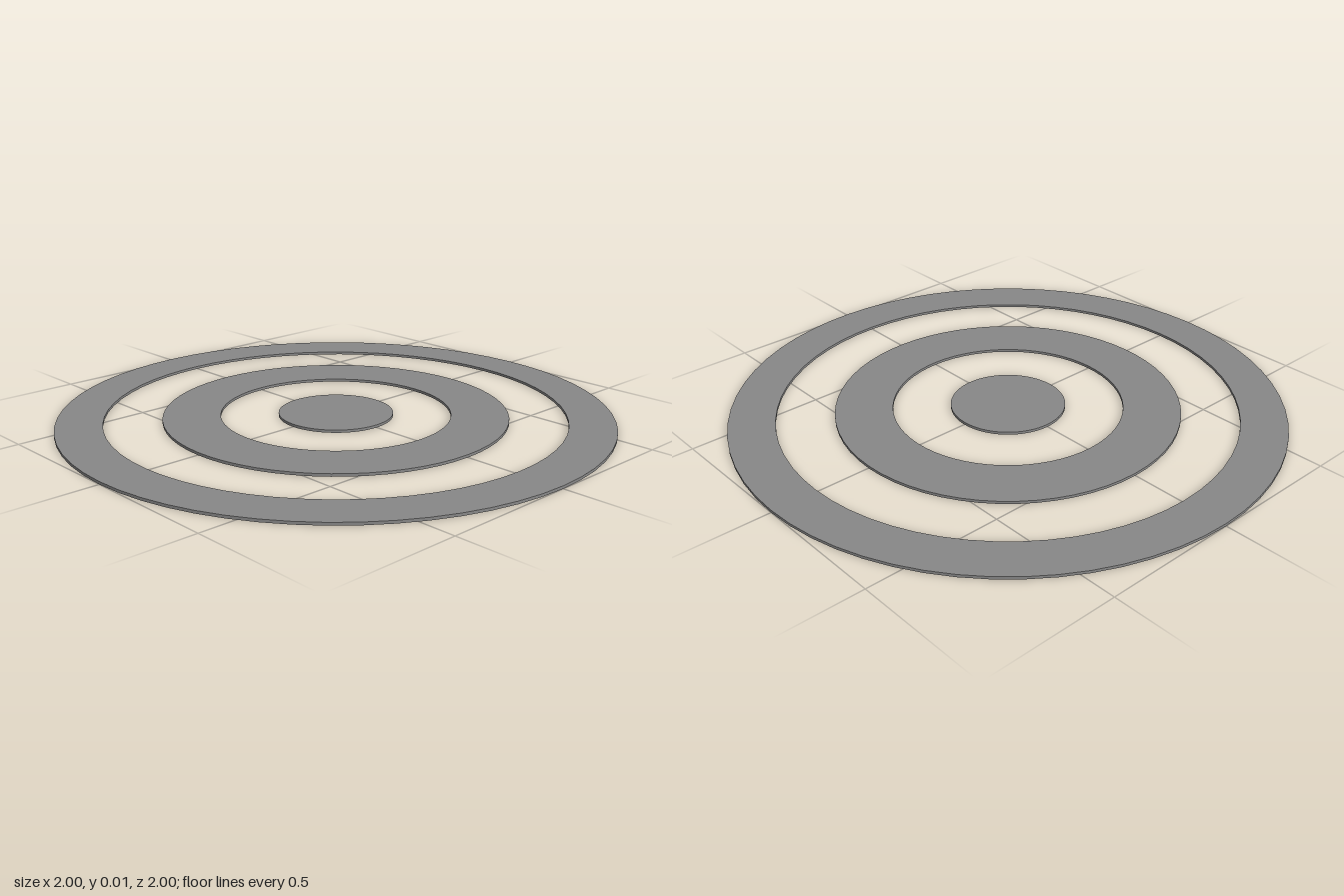
import * as THREE from 'three';
import { toCreasedNormals } from 'three/addons/utils/BufferGeometryUtils.js';

const THICKNESS = 0.01;
const SIDES = 64;

// Flat round plate lying on the ground, with an optional round hole
function plate(name, outer, inner, material) {
  const shape = new THREE.Shape().absarc(0, 0, outer, 0, Math.PI * 2, false);
  if (inner > 0) {
    shape.holes.push(new THREE.Path().absarc(0, 0, inner, 0, Math.PI * 2, true));
  }
  const geometry = new THREE.ExtrudeGeometry(shape, {
    depth: THICKNESS,
    bevelEnabled: false,
    curveSegments: SIDES / 2, // full arcs are sampled at twice this count
  });
  geometry.rotateX(-Math.PI / 2);
  // Smooth around the rim, sharp at the top and bottom edges
  const mesh = new THREE.Mesh(toCreasedNormals(geometry, 0.5), material);
  mesh.name = name;
  return mesh;
}

export function createModel() {
  const group = new THREE.Group();
  group.name = 'concentricRings';
  const material = new THREE.MeshStandardMaterial({ color: 0x888888 });

  // Centre disc and the two rings around it
  group.add(
    plate('centerDisc', 0.208, 0, material),
    plate('middleRing', 0.625, 0.417, material),
    plate('outerRing', 1, 0.833, material),
  );
  return group;
}
